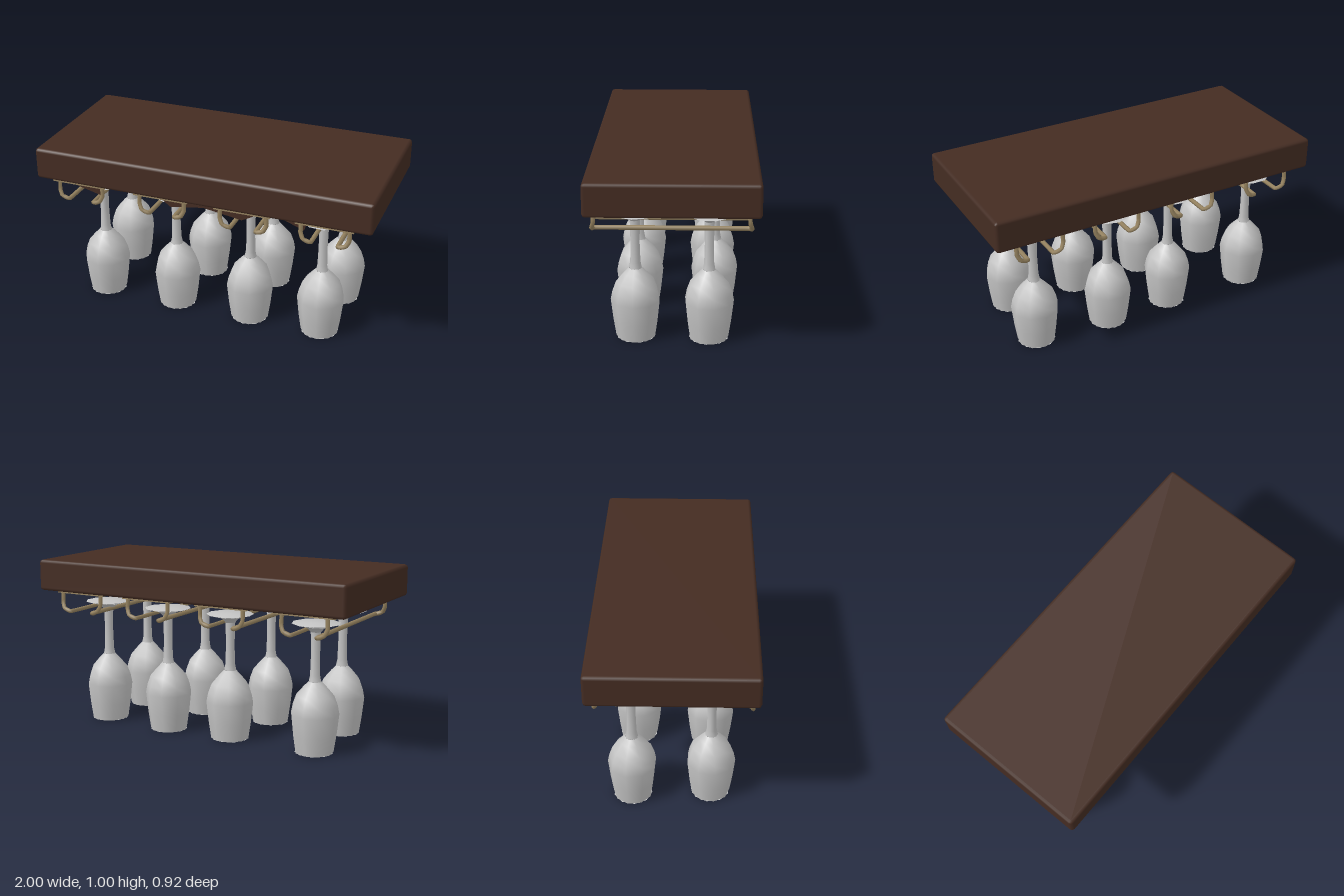
import * as THREE from 'three';
import { RoundedBoxGeometry } from 'three/addons/geometries/RoundedBoxGeometry.js';

const wood = new THREE.MeshStandardMaterial({ color: 0x442c22 });
wood.name = 'dark wood';
const brass = new THREE.MeshStandardMaterial({ color: 0x95825f });
brass.name = 'aged brass';
const glass = new THREE.MeshStandardMaterial({ color: 0xc4c4c4, side: THREE.DoubleSide });
glass.name = 'grey glass';

function addMesh(parent, name, geometry, material, x = 0, y = 0, z = 0) {
  const mesh = new THREE.Mesh(geometry, material);
  mesh.name = name;
  mesh.position.set(x, y, z);
  parent.add(mesh);
  return mesh;
}

// Lathe from [radius, height] pairs, listed from bottom to top
function lathe(points, sides) {
  return new THREE.LatheGeometry(points.map(([r, y]) => new THREE.Vector2(r, y)), sides);
}

// Upside-down wine glass: closed mouth at the floor, foot at the top
const bowlGeometry = lathe([
  [0.11, 0], [0.125, 0.1], [0.138, 0.22], [0.128, 0.27], [0.108, 0.325],
  [0.065, 0.375], [0.036, 0.405],
], 9);
const mouthGeometry = new THREE.CircleGeometry(0.11, 9).rotateX(Math.PI / 2);
const stemGeometry = lathe([
  [0.036, 0.405], [0.029, 0.44], [0.026, 0.55], [0.028, 0.66], [0.03, 0.69],
], 7);
const footGeometry = lathe([
  [0.03, 0.685], [0.045, 0.703], [0.07, 0.716], [0.137, 0.734], [0, 0.737],
], 10);

function makeGlass(x, z, turn) {
  const group = new THREE.Group();
  group.name = 'wineGlass';
  addMesh(group, 'bowl', bowlGeometry, glass);
  addMesh(group, 'mouth', mouthGeometry, glass).rotation.y = Math.PI / 2;
  addMesh(group, 'stem', stemGeometry, glass);
  addMesh(group, 'foot', footGeometry, glass);
  group.position.set(x, 0, z);
  group.rotation.y = turn;
  return group;
}

// Hanger: end plates and a pair of bent wire rails that hold the feet
function makeHanger(x) {
  const group = new THREE.Group();
  group.name = 'hanger';
  for (const z of [-0.395, 0.415]) {
    addMesh(group, 'endPlate', new THREE.BoxGeometry(0.33, 0.014, 0.05), brass, 0, 0.805, z);
  }
  for (const side of [-1, 1]) {
    const half = [[0.135, 0.81, 0.41], [0.137, 0.74, 0.415], [0.12, 0.705, 0.425],
      [0.085, 0.69, 0.42], [0.075, 0.69, 0.39]];
    const points = [
      ...half.map(([px, py, pz]) => new THREE.Vector3(side * px, py, pz)),
      ...half.slice().reverse().map(([px, py, pz]) => new THREE.Vector3(side * px, py, 0.01 - pz)),
    ];
    const path = new THREE.CatmullRomCurve3(points, false, 'catmullrom', 0.2);
    addMesh(group, 'railWire', new THREE.TubeGeometry(path, 64, 0.013, 6), brass);
  }
  group.position.x = x;
  return group;
}

// Thin wooden wedge under the front edge, facing forward
function makeWedge(corners) {
  const shape = new THREE.Shape(corners.map(([x, y]) => new THREE.Vector2(x, y)));
  return new THREE.ShapeGeometry(shape);
}

export function createModel() {
  const model = new THREE.Group();
  model.name = 'glassRackShelf';

  // Shelf board with small bevels
  addMesh(model, 'shelf', new RoundedBoxGeometry(2, 0.185, 0.92, 1, 0.018), wood, 0, 0.9025, 0);

  // Wedges below the board
  const wedges = [
    [[-0.9, 0.81], [-0.62, 0.74], [-0.6, 0.81]],
    [[-0.27, 0.81], [-0.18, 0.745], [0.02, 0.775], [0.25, 0.74], [0.38, 0.81]],
    [[0.44, 0.81], [0.61, 0.745], [0.63, 0.81]],
  ];
  for (const corners of wedges) addMesh(model, 'frontWedge', makeWedge(corners), wood, 0, 0, 0.405);

  // Four hangers, each with a front and a back glass
  const bays = [
    { hanger: -0.74, front: -0.7, back: -0.73, backZ: -0.23 },
    { hanger: -0.23, front: -0.23, back: -0.185, backZ: -0.22 },
    { hanger: 0.26, front: 0.235, back: 0.23, backZ: -0.23 },
    { hanger: 0.73, front: 0.67, back: 0.685, backZ: -0.195 },
  ];
  bays.forEach((bay, i) => {
    model.add(makeHanger(bay.hanger));
    model.add(makeGlass(bay.front, 0.21, i * 0.5));
    model.add(makeGlass(bay.back, bay.backZ, i * 0.5 + 0.3));
  });

  return model;
}
